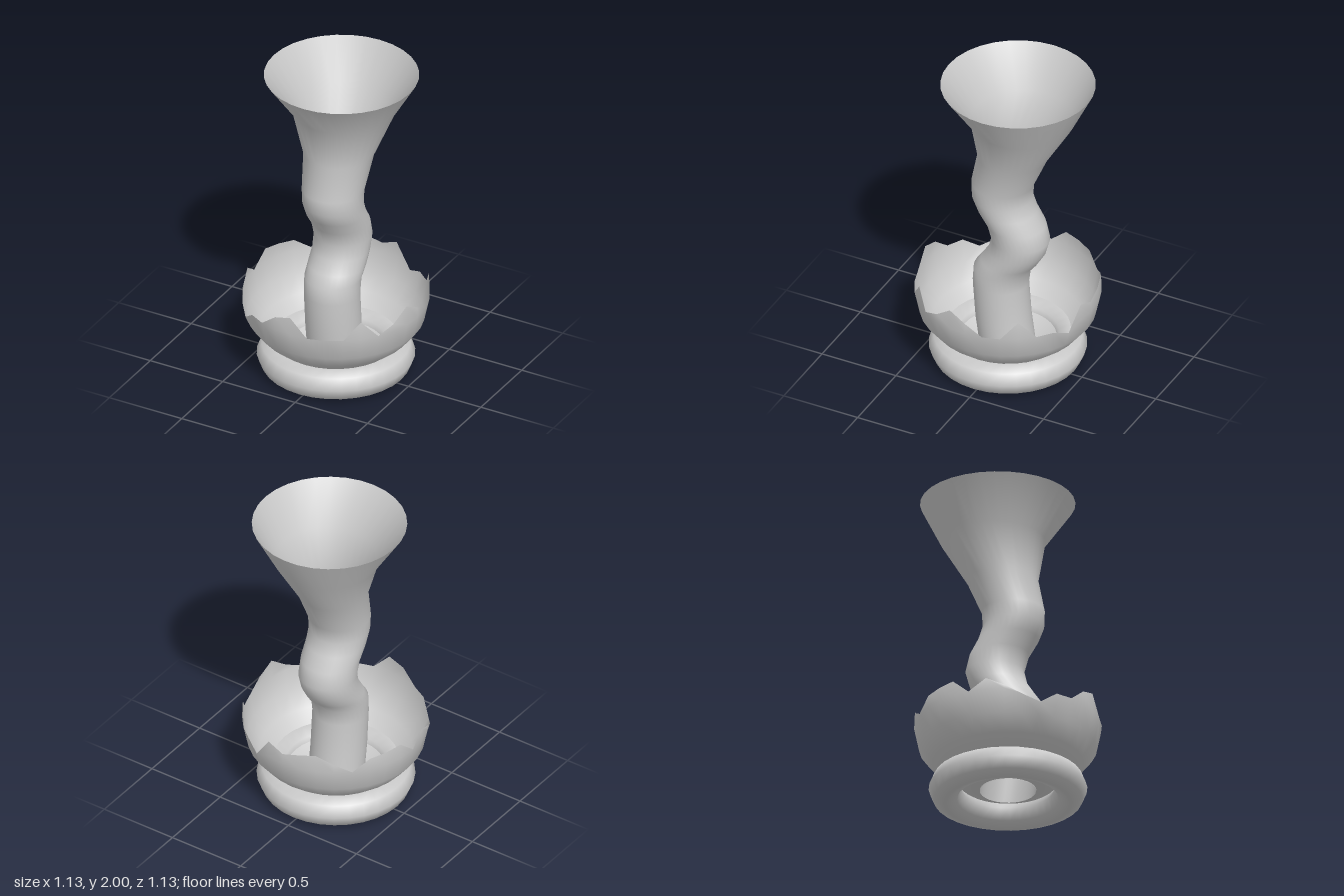
import * as THREE from 'three';
import { mergeVertices } from 'three/addons/utils/BufferGeometryUtils.js';

const SIDES = 32;

// Lathe a [radius, height] profile, then move each vertex by a rule (side index, ring index)
function turned(profile, rule) {
  const points = profile.map(([r, y]) => new THREE.Vector2(r, y));
  const geo = new THREE.LatheGeometry(points, SIDES);
  const pos = geo.attributes.position;
  if (rule) {
    for (let i = 0; i < pos.count; i++) {
      rule(pos, i, Math.floor(i / profile.length) % SIDES, i % profile.length);
    }
  }
  // weld the seam so the shading stays smooth all round
  geo.deleteAttribute('uv');
  geo.deleteAttribute('normal');
  const welded = mergeVertices(geo, 1e-5);
  welded.computeVertexNormals();
  return welded;
}

export function createModel() {
  const group = new THREE.Group();
  const material = new THREE.MeshStandardMaterial({ color: 0xcccccc, side: THREE.DoubleSide });
  const add = (name, geo) => {
    const mesh = new THREE.Mesh(geo, material);
    mesh.name = name;
    group.add(mesh);
  };

  // Round ring foot
  const foot = new THREE.TorusGeometry(0.378, 0.1, 8, SIDES);
  foot.rotateX(Math.PI / 2);
  foot.translate(0, 0.1, 0);
  add('footRing', foot);

  // Bowl with a broken, toothed rim; rim heights run from the front round by the left
  const rim = [
    0.62, 0.505, 0.505, 0.505, 0.62, 0.505, 0.55, 0.63,
    0.57, 0.505, 0.505, 0.62, 0.505, 0.505, 0.46, 0.61,
    0.57, 0.6, 0.62, 0.56, 0.505, 0.58, 0.59, 0.6,
    0.505, 0.58, 0.53, 0.47, 0.43, 0.505, 0.505, 0.59,
  ];
  const bowl = [
    [0.17, 0.09], [0.28, 0.13], [0.38, 0.2], [0.46, 0.265],
    [0.535, 0.36], [0.565, 0.505], [0.56, 0.62],
  ];
  add('brokenBowl', turned(bowl, (pos, i, side, ring) => {
    if (ring === 5) pos.setY(i, Math.min(rim[side], 0.505));
    if (ring === 6) {
      if (rim[side] > 0.505) pos.setY(i, rim[side]);
      else pos.setXYZ(i, pos.getX(i - 1), pos.getY(i - 1), pos.getZ(i - 1));
    }
  }));

  // Open stem that sways front to back and flares to a trumpet: radius, height, sway
  const stem = [
    [0.17, 0.085, 0], [0.17, 0.3, 0.03], [0.17, 0.54, 0.048], [0.173, 0.648, 0.037],
    [0.176, 0.715, -0.013], [0.175, 0.795, -0.063], [0.177, 0.888, -0.087],
    [0.179, 0.99, -0.058], [0.182, 1.08, 0.002], [0.185, 1.165, 0.037],
    [0.19, 1.263, 0.035], [0.215, 1.48, -0.035], [0.315, 1.75, -0.098], [0.468, 2, -0.068],
  ];
  add('swayingStem', turned(stem, (pos, i, side, ring) => {
    pos.setZ(i, pos.getZ(i) + stem[ring][2]);
  }));

  return group;
}
